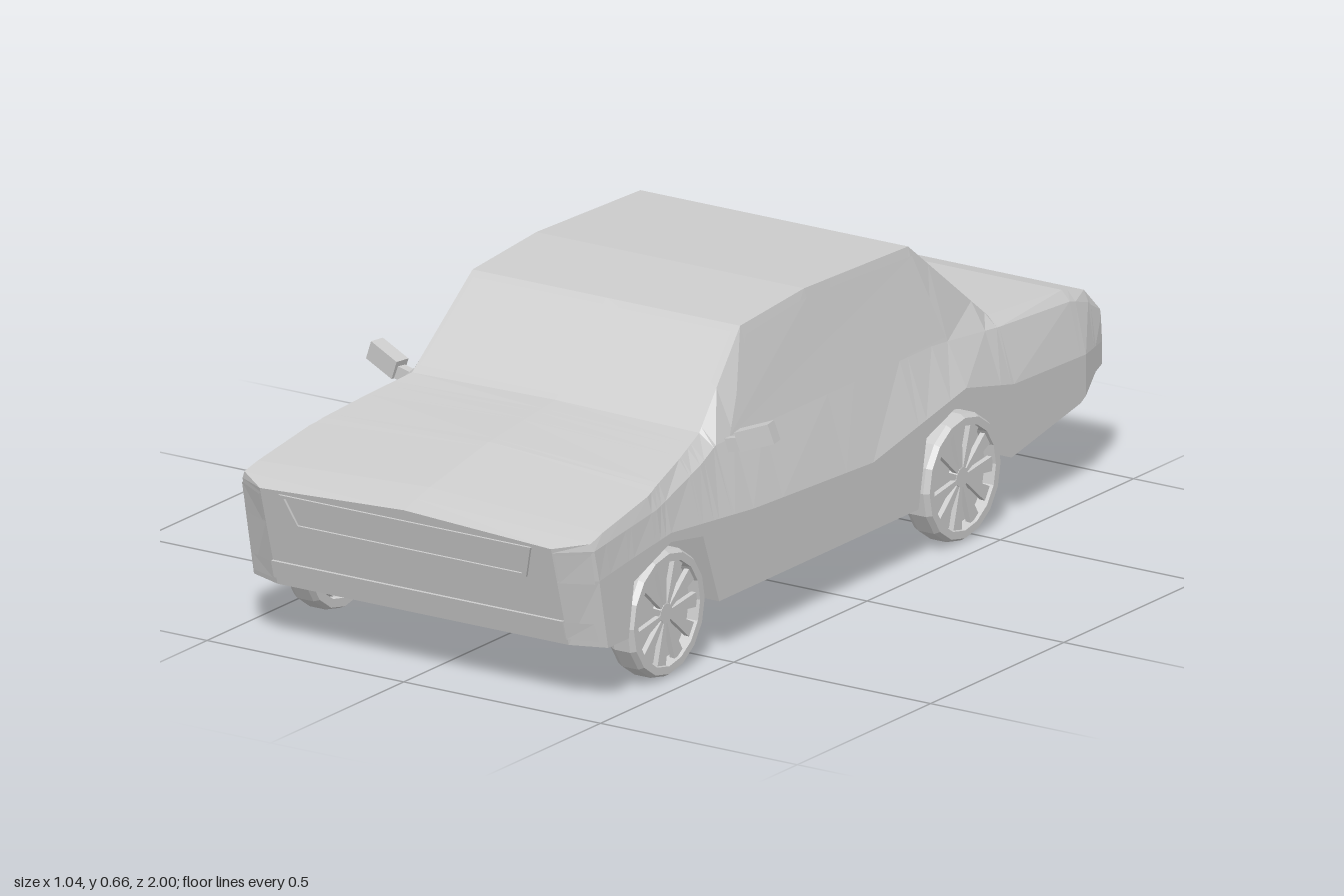
import * as THREE from 'three';

const paint = new THREE.MeshStandardMaterial({ color: 0xcccccc, flatShading: true });
const thin = new THREE.MeshStandardMaterial({ color: 0xcccccc, flatShading: true, side: THREE.DoubleSide });

// Body curves along the car: [z, value] from nose to tail
const topY = [[1, .38], [.9, .405], [.68, .445], [.43, .47], [.24, .645], [0, .663], [-.39, .65], [-.63, .44], [-.88, .432], [-.95, .415], [-1, .36]];
const topX = [[1, .37], [.95, .44], [.72, .43], [.55, .395], [.43, .365], [.24, .34], [-.39, .34], [-.63, .38], [-.9, .4], [-1, .415]];
const topDrop = [[1, .02], [.7, .025], [.43, .006], [.24, 0], [-1, 0]];
const beltY = [[1, .35], [.95, .355], [.7, .38], [.5, .42], [.42, .44], [-.39, .44], [-.63, .42], [-.88, .41], [-.95, .39], [-1, .345]];
const beltX = [[1, .37], [.95, .447], [.7, .44], [.5, .415], [.42, .4], [-.45, .4], [-.63, .41], [-.9, .42], [-1, .417]];
const sideX = [[1, .37], [.95, .45], [-.9, .447], [-1, .42]];
const creaseY = [[1, .28], [.66, .32], [.35, .29], [-.1, .27], [-.45, .34], [-.63, .3], [-1, .29]];
const sillY = [[1, .13], [.82, .13], [.8, .25], [.66, .3], [.54, .28], [.48, .12], [-.27, .12], [-.3, .27], [-.45, .32], [-.58, .29], [-.62, .14], [-.88, .19], [-.96, .235], [-1, .24]];
const floorY = [[1, .13], [.82, .13], [.48, .12], [-.27, .12], [-.62, .14], [-.88, .19], [-.96, .235], [-1, .24]];

function at(curve, z) {
  let i = 0;
  while (i < curve.length - 2 && z < curve[i + 1][0]) i++;
  const [a, b] = [curve[i], curve[i + 1]];
  return THREE.MathUtils.mapLinear(z, a[0], b[0], a[1], b[1]);
}

// The nose leans back toward its foot
const lean = (z, y) => z - 0.29 * Math.max(0, (z - 0.82) / 0.18) * (0.38 - y);

function section(z) {
  const f = at(floorY, z);
  const half = [
    [0, at(topY, z)], [at(topX, z), at(topY, z) - at(topDrop, z)],
    [at(beltX, z), at(beltY, z)], [at(sideX, z), at(creaseY, z)],
    [at(sideX, z), at(sillY, z)], [.35, at(sillY, z)], [.35, f], [0, f],
  ];
  const mirrored = half.slice(1, -1).reverse().map(([x, y]) => [-x, y]);
  return [...half, ...mirrored].map(([x, y]) => [x, y, lean(z, y)]);
}

function bodyGeometry() {
  const curves = [topY, topX, topDrop, beltY, beltX, sideX, creaseY, sillY];
  const stations = [...new Set(curves.flat().map(p => p[0]))].sort((a, b) => b - a);
  const rings = stations.map(section), n = rings[0].length, last = rings.length - 1;
  const index = [];
  for (let i = 0; i < last; i++) {
    for (let j = 0; j < n; j++) {
      const k = (j + 1) % n, a = i * n + j, b = i * n + k;
      index.push(a, b, a + n, b, b + n, a + n);
    }
  }
  for (let j = 1; j < n - 1; j++) {
    index.push(0, j + 1, j, last * n, last * n + j, last * n + j + 1);
  }
  const g = new THREE.BufferGeometry();
  g.setAttribute('position', new THREE.Float32BufferAttribute(rings.flat(2), 3));
  g.setIndex(index);
  const flat = g.toNonIndexed();
  flat.computeVertexNormals();
  return flat;
}

function add(parent, name, geometry, material = paint) {
  const mesh = new THREE.Mesh(geometry, material);
  mesh.name = name;
  parent.add(mesh);
  return mesh;
}

// Thin pane through its corners (counter-clockwise from outside), lifted off the body
function pane(parent, name, corners, lift = 0.004) {
  const p = corners.map(c => new THREE.Vector3(...c));
  const normal = p[1].clone().sub(p[0]).cross(p[2].clone().sub(p[0])).normalize();
  p.forEach(v => v.addScaledVector(normal, lift));
  const g = new THREE.BufferGeometry().setFromPoints(p);
  g.setIndex(p.slice(2).flatMap((_, i) => [0, i + 1, i + 2]));
  g.computeVertexNormals();
  add(parent, name, g, thin);
}

// Bar or frame on the leaning nose
function nosePart(parent, name, outline, depth, hole) {
  const shape = new THREE.Shape(outline.map(p => new THREE.Vector2(...p)));
  if (hole) shape.holes.push(new THREE.Path(hole.map(p => new THREE.Vector2(...p))));
  const g = new THREE.ExtrudeGeometry(shape, { depth, bevelEnabled: false });
  const pos = g.attributes.position;
  for (let i = 0; i < pos.count; i++) pos.setZ(i, pos.getZ(i) + lean(1, pos.getY(i)) - 0.002);
  g.computeVertexNormals();
  add(parent, name, g);
}

function wheel(name, x, z) {
  const g = new THREE.Group();
  g.name = name;
  const profile = [[.115, -.033], [.134, -.033], [.14, -.02], [.14, .02], [.133, .032], [.116, .032], [.11, -.033]];
  add(g, 'tyre', new THREE.LatheGeometry(profile.map(p => new THREE.Vector2(...p)), 16).rotateX(Math.PI / 2), thin);
  add(g, 'wheelDisc', new THREE.CylinderGeometry(.114, .114, .01, 16).rotateX(Math.PI / 2));
  add(g, 'hub', new THREE.CylinderGeometry(.022, .026, .022, 12).rotateX(Math.PI / 2)).position.z = .014;
  const spoke = new THREE.Shape([[.015, -.004], [.117, -.017], [.117, .017], [.015, .004]].map(p => new THREE.Vector2(...p)));
  for (let i = 0; i < 11; i++) {
    const s = add(g, 'spoke', new THREE.ExtrudeGeometry(spoke, { depth: .012, bevelEnabled: false }));
    s.position.z = .012;
    s.rotation.z = i / 11 * Math.PI * 2;
  }
  g.rotation.y = Math.PI / 2;
  g.position.set(x, .14, z);
  return g;
}

// Everything on the car's left side, mirrored for the right
function sideParts() {
  const g = new THREE.Group();
  g.add(wheel('frontWheel', .4125, .66), wheel('rearWheel', .4125, -.45));

  pane(g, 'sideWindow', [[.398, .446, .37], [.398, .446, -.44], [.346, .63, -.39], [.344, .645, 0], [.348, .625, .235]]);

  pane(g, 'headlight', [
    [.374, .28, lean(.997, .28)], [.442, .28, lean(.955, .28)],
    [.442, .35, lean(.955, .35)], [.374, .347, lean(.997, .347)],
  ]);
  pane(g, 'bumperCorner', [
    [.37, .148, lean(1, .148)], [.435, .148, lean(.96, .148)],
    [.43, .188, lean(.963, .188)], [.37, .188, lean(1, .188)],
  ], .008);

  // Tail lamp split in two stacked lenses
  for (const y of [.268, .318]) {
    add(g, 'tailLamp', new THREE.BoxGeometry(.03, .044, .012)).position.set(.397, y, -.997);
  }

  // Door mirror: a short stalk and a tilted head
  const mirror = new THREE.Group();
  mirror.name = 'doorMirror';
  const stalk = add(mirror, 'mirrorStalk', new THREE.BoxGeometry(.07, .03, .02));
  stalk.position.set(.412, .433, .375);
  stalk.rotation.z = .25;
  const head = add(mirror, 'mirrorHead', new THREE.BoxGeometry(.082, .044, .035));
  head.position.set(.47, .459, .368);
  head.rotation.set(0, .2, .35);
  g.add(mirror);
  return g;
}

export function createModel() {
  const car = new THREE.Group();
  car.name = 'car';
  add(car, 'body', bodyGeometry());

  // Front and rear glass
  pane(car, 'windscreen', [[-.35, .478, .422], [.35, .478, .422], [.328, .632, .253], [-.328, .632, .253]]);
  pane(car, 'rearWindow', [[.345, .449, -.62], [-.345, .449, -.62], [-.328, .638, -.404], [.328, .638, -.404]]);

  // Grille frame and front bumper bar
  nosePart(car, 'grilleFrame', [[-.295, .28], [.295, .28], [.32, .355], [-.32, .355]], .008,
    [[-.285, .287], [-.308, .348], [.308, .348], [.285, .287]]);
  nosePart(car, 'frontBumper', [[-.37, .148], [.37, .148], [.37, .188], [-.37, .188]], .01);

  // Tail trim strips
  for (const y of [.25, .34]) {
    add(car, 'tailTrim', new THREE.BoxGeometry(.75, .008, .01)).position.set(0, y, -.997);
  }

  const left = sideParts(), right = sideParts();
  left.name = 'leftSide';
  right.name = 'rightSide';
  right.scale.x = -1;
  car.add(left, right);
  return car;
}
